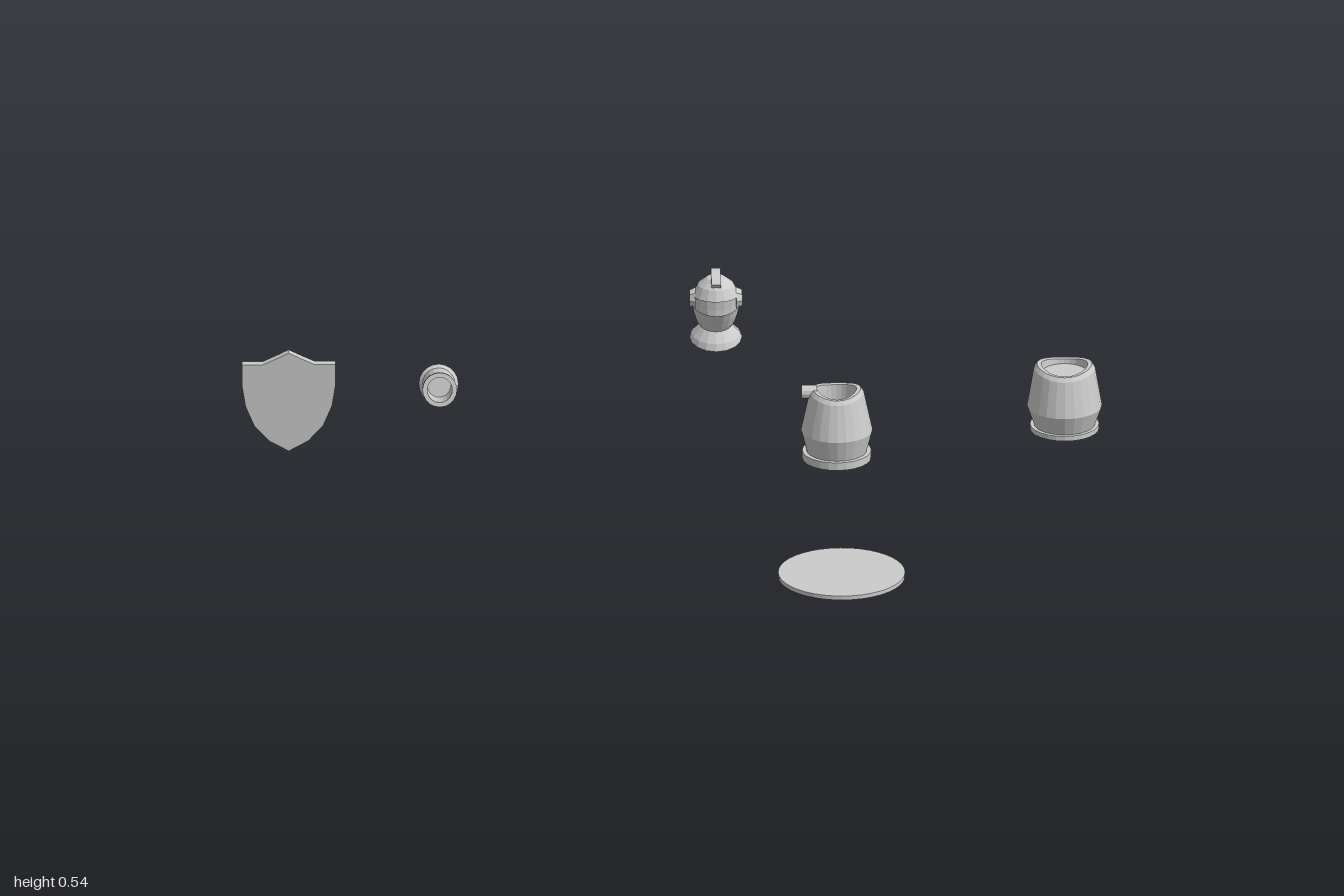
import * as THREE from 'three';

const mat = new THREE.MeshStandardMaterial({ color: 0xcccccc, flatShading: true, side: THREE.DoubleSide });
const smooth = new THREE.MeshStandardMaterial({ color: 0xcccccc });

function part(name, geometry, parent, x = 0, y = 0, z = 0, material = mat) {
  const m = new THREE.Mesh(geometry, material);
  m.name = name;
  m.position.set(x, y, z);
  parent.add(m);
  return m;
}

function group(name, parent, x, y, z) {
  const g = new THREE.Group();
  g.name = name;
  g.position.set(x, y, z);
  parent.add(g);
  return g;
}

const lathe = (pts, sides) => new THREE.LatheGeometry(pts.map(p => new THREE.Vector2(...p)), sides);

// Skin through rows of points, listed from top to bottom; pointAt(row, angle), angle 0 faces +z
function loft(rows, pointAt, sides, from = 0, to = Math.PI * 2) {
  const pos = [], idx = [], n = sides + 1;
  rows.forEach(row => {
    for (let i = 0; i < n; i++) pos.push(...pointAt(row, from + (to - from) * i / sides));
  });
  for (let r = 0; r < rows.length - 1; r++) {
    for (let i = 0; i < sides; i++) {
      const a = r * n + i, c = a + n;
      idx.push(a, c, a + 1, a + 1, c, c + 1);
    }
  }
  const g = new THREE.BufferGeometry();
  g.setAttribute('position', new THREE.Float32BufferAttribute(pos, 3));
  g.setIndex(idx);
  g.computeVertexNormals();
  return g;
}

// Torso shell: stepped foot, flared waist, wavy rim and a recessed floor
function torso(name, parent, x, y, { foot, footH, neck, wide, wideH, rim, h, floor }) {
  const g = group(name, parent, x, y, -0.303);
  part('footRing', lathe([[0, 0], [foot, 0], [foot, footH], [neck, footH]], 24), g);
  const shell = lathe([[neck, footH], [wide, wideH], [rim + 0.003, h - 0.013], [rim - 0.004, h - 0.003],
    [rim - 0.014, h - 0.004], [rim - 0.016, floor], [0, floor]], 24);
  const p = shell.attributes.position;
  for (let i = 0; i < p.count; i++) {
    if (p.getY(i) < h - 0.02) continue;
    const t = Math.atan2(p.getX(i), p.getZ(i));
    p.setY(i, p.getY(i) - 0.005 * (1 + Math.cos(2 * t)) + 0.003);
  }
  shell.computeVertexNormals();
  part('shell', shell, g);
  return g;
}

function shieldOutline(k) {
  const half = [[0, 0.123], [0.03, 0.108], [0.06, 0.094], [0.108, 0.094], [0.108, 0.04], [0.1, -0.01],
    [0.08, -0.058], [0.045, -0.097], [0, -0.122]];
  const left = half.slice(1, -1).reverse().map(([x, y]) => [-x, y]);
  return [...half, ...left].map(([x, y]) => new THREE.Vector2(x * k, y * k));
}

function buildShield(parent) {
  const g = group('shield', parent, -0.89, 0.262, -0.219);
  // Raised rim around the hollow back
  const rim = new THREE.Shape(shieldOutline(1));
  rim.holes.push(new THREE.Path(shieldOutline(0.83)));
  part('shieldRim', new THREE.ExtrudeGeometry(rim, { depth: 0.011, bevelEnabled: false }), g);
  part('shieldPlate', new THREE.ExtrudeGeometry(new THREE.Shape(shieldOutline(1)),
    { depth: 0.01, bevelEnabled: false }), g, 0, 0, 0.011);
}

function buildCannon(parent) {
  // Local +y runs along the barrel towards the muzzle
  const g = group('cannon', parent, -0.541, 0.298, -0.178);
  g.rotation.x = Math.PI / 2 - 0.29;
  part('barrel', lathe([[0.046, -0.15], [0.046, -0.142], [0.038, -0.135], [0.033, -0.015], [0.04, -0.014],
    [0.04, 0], [0.029, 0], [0.027, -0.1], [0, -0.1]], 20), g);
  part('breech', lathe([[0, -0.2], [0.018, -0.198], [0.034, -0.187], [0.043, -0.17], [0.046, -0.15]], 20), g);
  part('breechKnob', new THREE.SphereGeometry(0.017, 14, 10), g, 0, -0.209, 0, smooth);
}

function buildHelmet(parent) {
  const g = group('helmet', parent, 0.1, 0, 0);
  // Rows: height, half width, front z, back z
  const oval = ([y, rx, f, b], t) => {
    const mid = -0.298, c = Math.cos(t);
    return [rx * Math.sin(t), y, mid + (c > 0 ? f - mid : mid - b) * c];
  };
  const skull = [[0.531, 0, -0.298, -0.298], [0.525, 0.022, -0.273, -0.322], [0.509, 0.042, -0.255, -0.342],
    [0.484, 0.055, -0.244, -0.354], [0.479, 0.054, -0.262, -0.354], [0.455, 0.052, -0.264, -0.351],
    [0.425, 0.044, -0.264, -0.341], [0.405, 0.036, -0.265, -0.332]];
  part('skull', loft(skull, oval, 16), g);

  // Beaked visor, ear to ear, leaving an eye slit above
  const visor = [[0.46, 0.057, -0.218], [0.438, 0.052, -0.234], [0.417, 0.045, -0.25], [0.405, 0.037, -0.258]];
  part('visor', loft(visor, ([y, rx, f], t) => {
    const c = Math.max(0, Math.cos(t));
    return [rx * Math.sin(t), y + 0.006 * (1 - c), -0.29 + (f + 0.29) * Math.pow(c, 1.25)];
  }, 10, -Math.PI / 2, Math.PI / 2), g);

  // Flared collar, deeper at the front
  const collar = [[0.036, 0.409, 0.409], [0.056, 0.381, 0.394], [0.061, 0.364, 0.392], [0.05, 0.368, 0.393],
    [0.034, 0.4, 0.402]];
  part('collar', loft(collar, ([r, yf, yb], t) => {
    const k = (1 + Math.cos(t)) / 2;
    return [r * Math.sin(t), yb + (yf - yb) * k, -0.297 + r * Math.cos(t)];
  }, 16), g);

  // Crest arc over the crown, front to back
  const arc = new THREE.Shape();
  const a0 = 0, a1 = Math.PI * 0.74;
  arc.absarc(0, 0, 0.068, a0, a1, false);
  arc.absarc(0, 0, 0.05, a1, a0, true);
  const crest = new THREE.ExtrudeGeometry(arc, { depth: 0.022, bevelEnabled: false, curveSegments: 10 });
  crest.translate(0, 0, -0.011).rotateY(Math.PI / 2);
  part('crest', crest, g, 0, 0.475, -0.298);

  // Visor hinges and breathing slots on both sides
  for (const s of [-1, 1]) {
    const hinge = new THREE.CylinderGeometry(s > 0 ? 0.02 : 0.027, s > 0 ? 0.027 : 0.02, 0.014, 8);
    part('visorHinge', hinge.rotateZ(-s * Math.PI / 2 * s), g, s * 0.054, 0.474, -0.298);
  }
}

export function createModel() {
  const model = new THREE.Group();
  model.name = 'armourParts';

  const base = new THREE.CylinderGeometry(0.147, 0.147, 0.01, 40);
  part('base', base, model, 0.38, 0.005, 0.247);

  const lower = torso('armouredTorso', model, 0.38, 0.07, {
    foot: 0.08, footH: 0.019, neck: 0.07, wide: 0.083, wideH: 0.07, rim: 0.06, h: 0.174, floor: 0.12 });
  // Shoulder peg on the rim
  const peg = new THREE.CylinderGeometry(0.016, 0.016, 0.036, 12).rotateZ(Math.PI / 2);
  part('shoulderPeg', peg, lower, -0.064, 0.165, 0);

  torso('plainTorso', model, 0.907, 0.139, {
    foot: 0.08, footH: 0.012, neck: 0.071, wide: 0.087, wideH: 0.058, rim: 0.068, h: 0.162, floor: 0.14 });

  buildShield(model);
  buildCannon(model);
  buildHelmet(model);
  return model;
}
